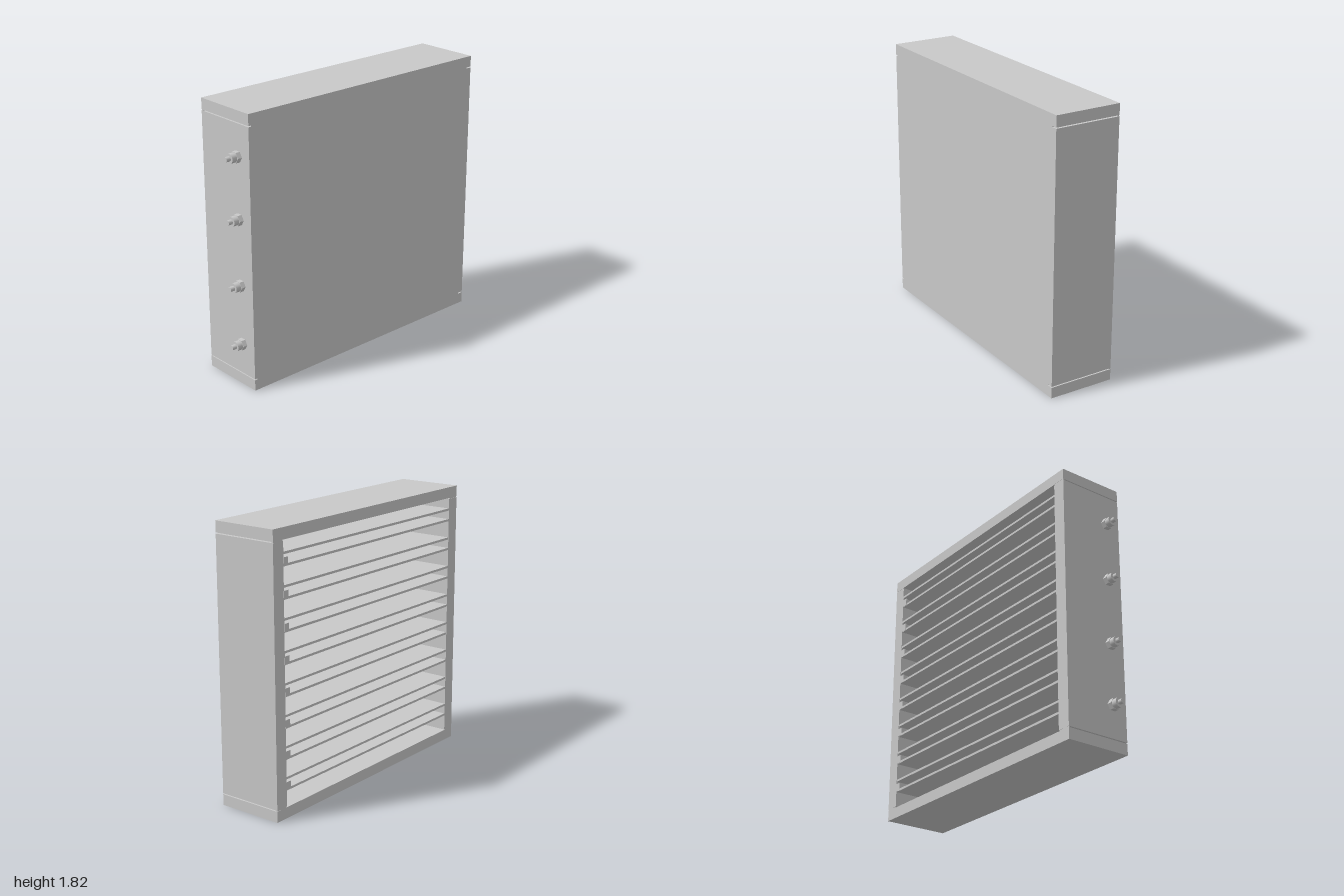
import * as THREE from 'three';

export function createModel() {
  const model = new THREE.Group();
  const steel = new THREE.MeshStandardMaterial({ color: 0xc8c8c8 });
  steel.name = 'grey steel';

  const W = 0.224, H = 1.815, BACK = -1, FRONT = 0.905;
  const CAP = 0.073, GAP = 0.007;

  function add(name, geometry, parent = model) {
    const mesh = new THREE.Mesh(geometry, steel);
    mesh.name = name;
    parent.add(mesh);
    return mesh;
  }
  // Box given by its lower and upper corners
  function box(name, x0, x1, y0, y1, z0, z1, parent) {
    const g = new THREE.BoxGeometry(x1 - x0, y1 - y0, z1 - z0);
    g.translate((x0 + x1) / 2, (y0 + y1) / 2, (z0 + z1) / 2);
    return add(name, g, parent);
  }

  // Caps at the bottom and top of the housing
  box('bottomCap', -W, W, 0, CAP, BACK, FRONT);
  box('topCap', -W, W, H - CAP, H, BACK, FRONT);

  // End columns, with a narrow slot left next to each cap
  const y0 = CAP + GAP, y1 = H - CAP - GAP;
  box('frontColumn', -W, W, y0, y1, 0.815, FRONT);
  box('backColumn', -W, W, y0, y1, BACK, -0.91);
  box('frontColumnCore', -W + 0.01, W - 0.002, CAP, H - CAP, 0.82, FRONT - 0.02);
  box('backColumnCore', -W + 0.01, W - 0.002, CAP, H - CAP, -0.96, -0.915);

  // Flanges closing the slots on the open side
  box('frontFlange', -W + 0.001, -W + 0.011, CAP, H - CAP, 0.82, FRONT - 0.002);
  box('backFlange', -W + 0.001, -W + 0.011, CAP, H - CAP, BACK + 0.002, -0.915);

  // Closed side panel
  box('sidePanel', W - 0.012, W, CAP, H - CAP, -0.96, FRONT - 0.02);

  // Pairs of level shelves, each with a small stop at the rear end
  const shelves = new THREE.Group();
  shelves.name = 'shelves';
  model.add(shelves);
  for (let i = 0; i < 8; i++) {
    const y = 0.182 + i * 0.2;
    box('lowerShelf', -W + 0.001, W - 0.012, y, y + 0.015, -0.91, 0.815, shelves);
    box('upperShelf', -W + 0.001, W - 0.012, y + 0.073, y + 0.088, -0.91, 0.815, shelves);
    box('shelfStop', -W - 0.001, -W + 0.012, y + 0.002, y + 0.055, -0.912, -0.87, shelves);
  }

  // Threaded connectors on the front, each a nut, a collar and a stud
  function rod(name, radius, sides, z0, z1, parent) {
    let g = new THREE.CylinderGeometry(radius, radius, z1 - z0, sides, 1, false, Math.PI / 6);
    g.rotateX(Math.PI / 2);
    if (sides === 6) {
      g = g.toNonIndexed();
      g.computeVertexNormals();
    }
    add(name, g, parent).position.z = (z0 + z1) / 2;
  }
  for (const y of [0.292, 0.692, 1.13, 1.53]) {
    const connector = new THREE.Group();
    connector.name = 'connector';
    connector.position.set(0.117, y, 0);
    rod('nut', 0.038, 6, FRONT - 0.005, 0.935, connector);
    rod('collar', 0.031, 24, 0.935, 0.97, connector);
    rod('stud', 0.016, 24, 0.97, 1, connector);
    model.add(connector);
  }

  return model;
}
